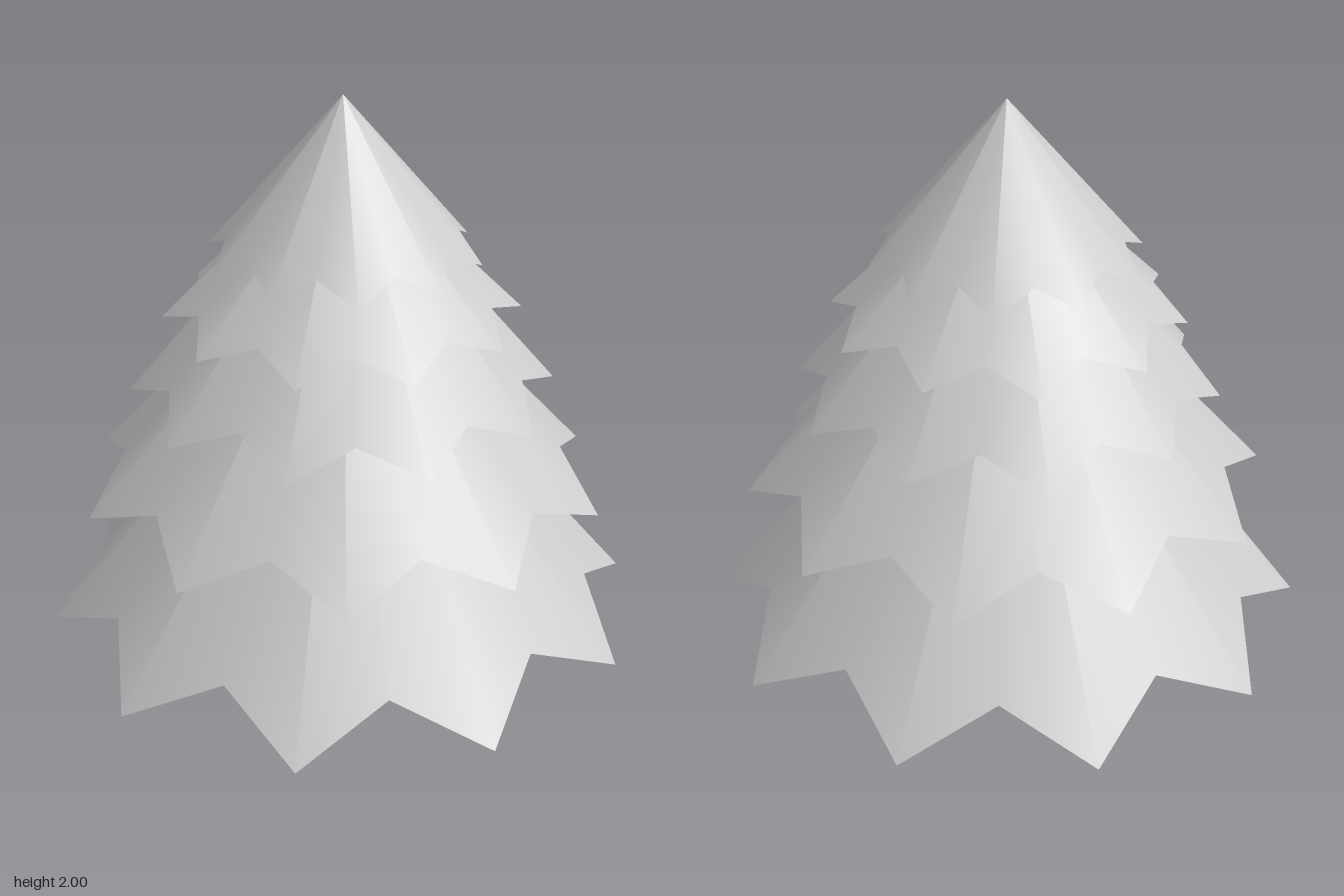
import * as THREE from 'three';

const POINTS = 10; // tips per tier
const SEG = POINTS * 2;

// Each tier: tip radius/height, valley radius/height, apex height, angle of the first tip in degrees
const TIERS = [
  { tipR: 0.93, tipY: 0.33, valR: 0.775, valY: 0.465, apex: 1.45, turn: -3.8 },
  { tipR: 0.81, tipY: 0.76, valR: 0.68, valY: 0.86, apex: 1.66, turn: -12.8 },
  { tipR: 0.65, tipY: 1.09, valR: 0.55, valY: 1.165, apex: 1.85, turn: 2.1 },
  { tipR: 0.54, tipY: 1.33, valR: 0.45, valY: 1.39, apex: 1.86, turn: 2 },
  { tipR: 0.415, tipY: 1.515, valR: 0.345, valY: 1.575, apex: 2, turn: 18 },
];

// Smooth band between two closed rings, upper/outer ring first
function band(ringA, ringB) {
  const index = [];
  for (let i = 0; i < SEG; i++) {
    const j = (i + 1) % SEG;
    index.push(i, j, SEG + i, j, SEG + j, SEG + i);
  }
  const geometry = new THREE.BufferGeometry().setFromPoints([...ringA, ...ringB]);
  geometry.setIndex(index);
  geometry.computeVertexNormals();
  return geometry;
}

function createTier(t, material) {
  // Ring whose radius and height alternate between tips and valleys
  const ring = (tipR, tipY, valR = tipR, valY = tipY) =>
    Array.from({ length: SEG }, (_, i) => {
      const a = THREE.MathUtils.degToRad(t.turn) + (i / SEG) * Math.PI * 2;
      const r = i % 2 ? valR : tipR;
      return new THREE.Vector3(Math.cos(a) * r, i % 2 ? valY : tipY, Math.sin(a) * r);
    });
  const top = ring(0.0005, t.apex);
  const star = ring(t.tipR, t.tipY, t.valR, t.valY);
  const mouth = ring(t.valR * 0.86, t.valY + 0.015);
  const hollow = ring(0.0005, t.apex - 0.12);

  const tier = new THREE.Group();
  const add = (name, a, b) => {
    const mesh = new THREE.Mesh(band(a, b), material);
    mesh.name = name;
    tier.add(mesh);
  };
  add('foliageOuter', top, star);
  add('foliageRim', star, mouth);
  add('foliageInner', mouth, hollow);
  return tier;
}

export function createModel() {
  const model = new THREE.Group();
  model.name = 'pineTree';
  const material = new THREE.MeshStandardMaterial({ color: 0xcccccc });

  // Trunk, slightly forward of the centre
  const trunk = new THREE.Mesh(new THREE.CylinderGeometry(0.15, 0.15, 0.9, 32), material);
  trunk.name = 'trunk';
  trunk.position.set(0, 0.45, 0.027);
  model.add(trunk);

  // Stacked star-edged foliage
  TIERS.forEach((t, i) => {
    const tier = createTier(t, material);
    tier.name = `foliageTier${i + 1}`;
    model.add(tier);
  });
  return model;
}
